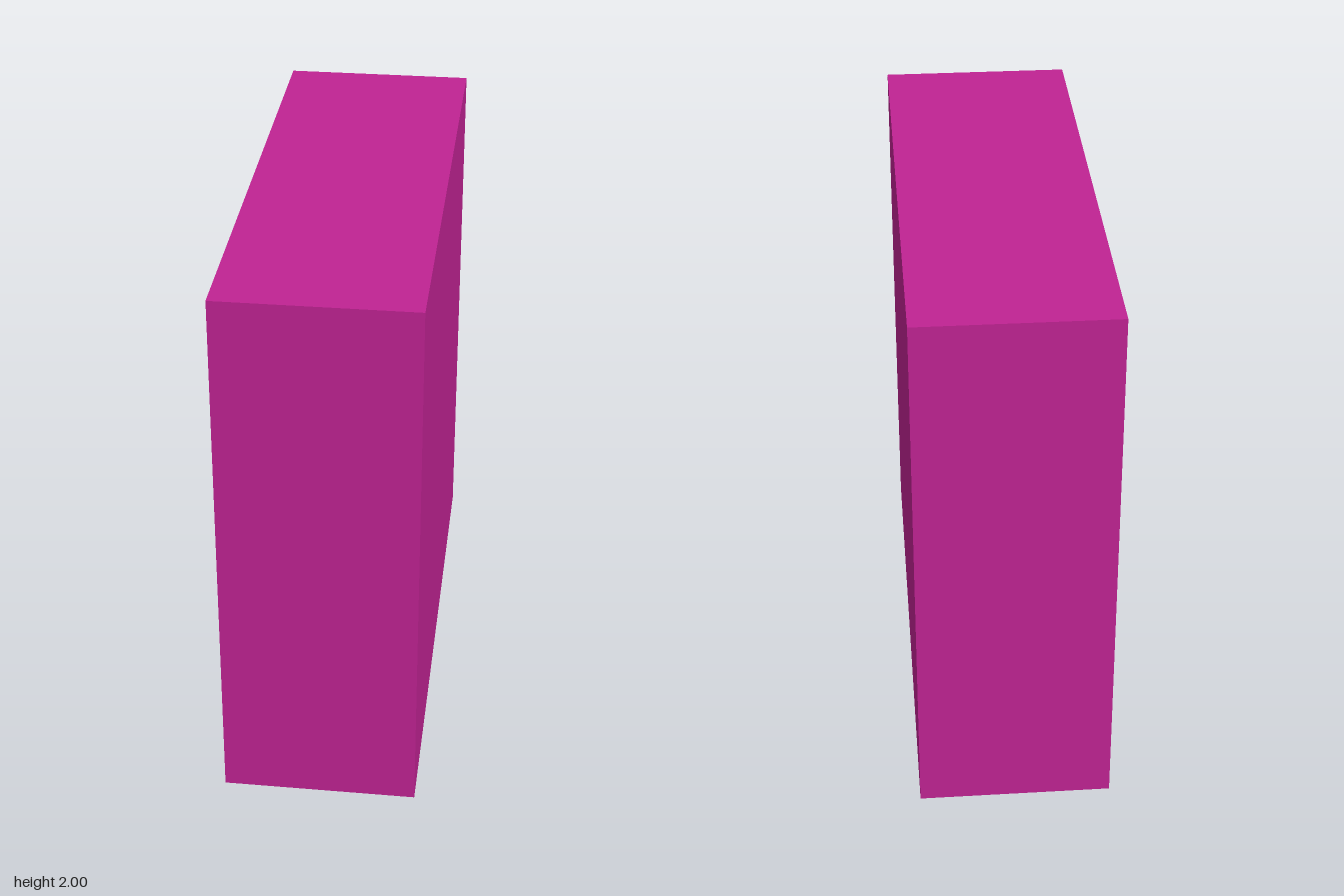
import * as THREE from 'three';

const magenta = new THREE.MeshStandardMaterial({ color: 0xc02393, flatShading: true });
magenta.name = 'magenta';

const addPart = (group, name, geometry) => {
  const mesh = new THREE.Mesh(geometry, magenta);
  mesh.name = name;
  group.add(mesh);
  return mesh;
};

// Faceted cushion facing -x: a 5 x 5 grid raised by a stepped rule in each direction
function cushionGeometry(height) {
  const across = [-0.37, -0.23, -0.09, 0.09, 0.23, 0.37];
  const up = [0.47, 0.31, 0.155, -0.155, -0.31, -0.47];
  const rise = [0, 0.63, 1, 1, 0.63, 0];
  const grid = new THREE.PlaneGeometry(1, 1, 5, 5);
  const p = grid.attributes.position;
  for (let i = 0; i < p.count; i++) {
    const c = i % 6, r = Math.floor(i / 6);
    p.setXYZ(i, across[c], up[r], height * rise[c] * rise[r]);
  }
  grid.rotateY(-Math.PI / 2);
  const geometry = grid.toNonIndexed();
  geometry.computeVertexNormals();
  return geometry;
}

export function createModel() {
  const group = new THREE.Group();
  group.name = 'cushionedPanel';

  // Solid back, side walls and recessed floor, as one plan outline extruded upward
  const half = [[-0.335, 1], [-0.335, 0.922], [-0.15, 0.922], [-0.195, 0.75]];
  const mirrored = half.map(([x, z]) => [x, -z]).reverse();
  const outline = [[0.362, 1], ...half, ...mirrored, [0.362, -1]];
  const shape = new THREE.Shape(outline.map(([x, z]) => new THREE.Vector2(x, z)));
  const body = new THREE.ExtrudeGeometry(shape, { depth: 1.922, bevelEnabled: false });
  body.rotateX(-Math.PI / 2);
  addPart(group, 'body', body);

  // Top wall closing the recess; the bottom stays open
  const top = addPart(group, 'topWall', new THREE.BoxGeometry(0.697, 0.078, 2));
  top.position.set(0.0135, 1.961, 0);

  // Four cushions; the back ones swell a little more
  for (const y of [0.545, 1.465]) {
    for (const z of [-0.5, 0.5]) {
      const full = y > 1 && z < 0;
      const cushion = addPart(group, 'cushion', cushionGeometry(full ? 0.212 : 0.207));
      cushion.position.set(-0.15, y, z);
    }
  }
  return group;
}
